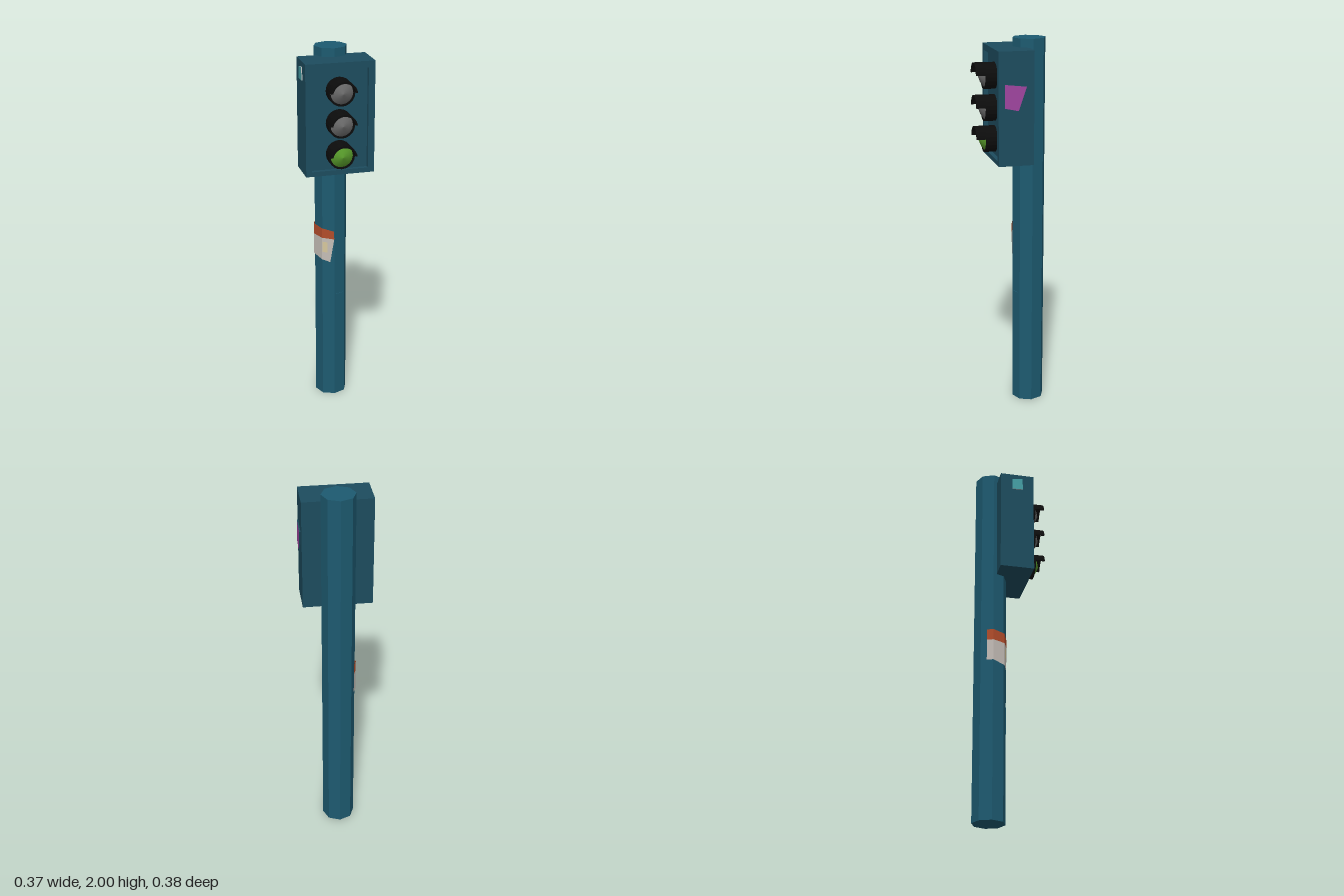
import * as THREE from 'three';

const paint = (color, extra = {}) => new THREE.MeshStandardMaterial({ color, flatShading: true, ...extra });
const poleMat = paint(0x1d5a70);
const boxMat = paint(0x1d4c5e);
const blackMat = paint(0x0c0c0c);

function add(parent, name, geometry, material) {
  const mesh = new THREE.Mesh(geometry, material);
  mesh.name = name;
  parent.add(mesh);
  return mesh;
}

function polygon(points) {
  return new THREE.Shape(points.map(([x, y]) => new THREE.Vector2(x, y)));
}

function extrude(shape, depth, z, curveSegments = 8) {
  return new THREE.ExtrudeGeometry(shape, { depth, bevelEnabled: false, curveSegments }).translate(0, 0, z);
}

// Ring wall of the lamp hood, either full or only the part above a cut height
function ringShape(outer, inner, cut) {
  const shape = new THREE.Shape();
  if (cut === undefined) {
    shape.absarc(0, 0, outer, 0, Math.PI * 2);
    const hole = new THREE.Path();
    hole.absarc(0, 0, inner, 0, Math.PI * 2, true);
    shape.holes.push(hole);
  } else {
    const a = Math.asin(cut / outer), b = Math.asin(cut / inner);
    shape.absarc(0, 0, outer, a, Math.PI - a);
    shape.absarc(0, 0, inner, Math.PI - b, b, true);
  }
  return shape;
}

// Lamp: short hood ring, longer upper visor and a shallow pointed lens
function makeLamp(name, y, color) {
  const lamp = new THREE.Group();
  lamp.name = name;
  add(lamp, 'hoodRing', extrude(ringShape(0.069, 0.059), 0.06, 0.08, 10), blackMat);
  add(lamp, 'visor', extrude(ringShape(0.069, 0.059, 0.01), 0.05, 0.14, 10), blackMat);
  const profile = [[0.059, 0], [0.034, 0.019], [0, 0.033]].map(([r, h]) => new THREE.Vector2(r, h));
  const lens = new THREE.LatheGeometry(profile, 16).rotateX(Math.PI / 2).translate(0, 0, 0.135);
  add(lamp, 'lens', lens, paint(color, { flatShading: false }));
  lamp.position.set(-0.004, y, 0);
  return lamp;
}

// Strip between a lower and an upper row of 3D points
function strip(lower, upper) {
  const positions = [...lower, ...upper].flat();
  const index = [];
  const n = lower.length;
  for (let i = 0; i < n - 1; i++) index.push(i, i + 1, n + i + 1, i, n + i + 1, n + i);
  const geometry = new THREE.BufferGeometry();
  geometry.setAttribute('position', new THREE.Float32BufferAttribute(positions, 3));
  geometry.setIndex(index);
  geometry.computeVertexNormals();
  return geometry;
}

export function createModel() {
  const model = new THREE.Group();
  model.name = 'trafficLight';

  // Octagonal pole
  add(model, 'pole', new THREE.CylinderGeometry(0.087, 0.087, 2, 8).translate(-0.001, 1, -0.102), poleMat);

  // Housing with a raised frame around the lamp panel
  const housing = new THREE.Group();
  housing.name = 'housing';
  model.add(housing);
  add(housing, 'housingBody', new THREE.BoxGeometry(0.361, 0.585, 0.163).translate(-0.0015, 1.6625, -0.0015), boxMat);
  const frame = polygon([[-0.182, 1.37], [0.179, 1.37], [0.179, 1.955], [-0.182, 1.955]]);
  frame.holes.push(polygon([[-0.152, 1.395], [-0.152, 1.92], [0.145, 1.92], [0.145, 1.395]]));
  add(housing, 'housingFrame', extrude(frame, 0.022, 0.08), boxMat);

  // Lamps, lowest one green
  model.add(makeLamp('topLamp', 1.81, 0x686868));
  model.add(makeLamp('middleLamp', 1.643, 0x686868));
  model.add(makeLamp('bottomLamp', 1.48, 0x56982a));

  // Side stickers: outlines are in (-z, y) on the left and (z, y) on the right
  const left = polygon([[-0.07, 1.67], [0.0, 1.655], [0.042, 1.777], [-0.07, 1.79]]);
  add(model, 'leftSticker', extrude(left, 0.008, 0.178).rotateY(Math.PI / 2), [paint(0xa045a0), boxMat]);
  const right = polygon([[-0.018, 1.86], [0.04, 1.862], [0.04, 1.93], [-0.018, 1.922]]);
  add(model, 'rightSticker', extrude(right, 0.006, 0.181).rotateY(-Math.PI / 2), [paint(0x45a0a5), paint(0xbdbdbd)]);

  // Poster wrapped round the pole: [x, z, bottom, split, top] at each fold
  const folds = [
    [-0.082, -0.134, 0.855, 0.97, 1.03],
    [-0.094, -0.102, 0.855, 0.97, 1.03],
    [-0.066, -0.036, 0.84, 0.967, 1.022],
    [-0.004, -0.011, 0.825, 0.96, 1.005],
  ];
  folds[0][0] = -0.08;
  const row = (k) => folds.map((f) => [k === 2 && f === folds[3] ? -0.024 : f[0], f[k], f === folds[3] && k === 2 ? -0.019 : f[1]]);
  const open = { side: THREE.DoubleSide };
  const poster = new THREE.Group();
  poster.name = 'polePoster';
  model.add(poster);
  add(poster, 'posterSheet', strip(row(2), row(3)), paint(0xc4bdb6, open));
  add(poster, 'posterHeader', strip(row(3), row(4)), paint(0xb24c2a, open));
  const spot = (y) => [[-0.064, y, -0.033], [-0.038, y - 0.004, -0.0225]];
  add(poster, 'posterPatch', strip(spot(0.885), spot(0.945)), paint(0xd6c79c, open));

  // Narrow cover plate low on the front of the pole
  const plate = add(model, 'coverPlate', new THREE.BoxGeometry(0.05, 0.15, 0.004), poleMat);
  plate.position.set(0.026, 0.555, -0.025);
  plate.rotation.y = Math.PI / 8;

  return model;
}
